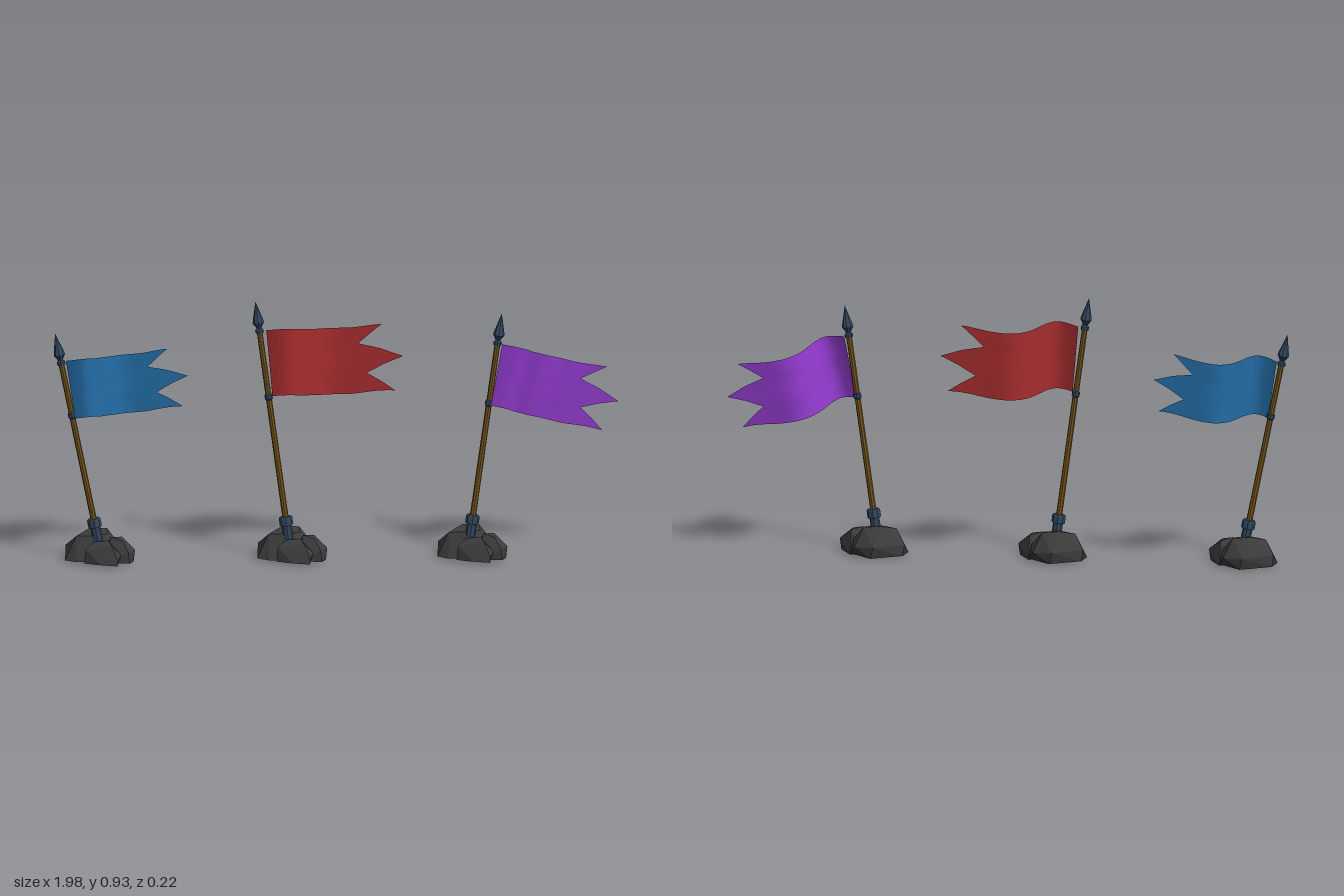
import * as THREE from 'three';
import { ConvexGeometry } from 'three/addons/geometries/ConvexGeometry.js';

const mat = (name, color, extra = {}) => {
  const m = new THREE.MeshStandardMaterial({ color, ...extra });
  m.name = name;
  return m;
};

const add = (parent, name, geometry, material, y = 0) => {
  const mesh = new THREE.Mesh(geometry, material);
  mesh.name = name;
  mesh.position.y = y;
  parent.add(mesh);
  return mesh;
};

// Boulder lobes: each is the hull of a few corner points [x, y, z]
const LOBES = {
  backBoulder: [
    [-0.12, 0.01, 0.0], [-0.115, 0.05, -0.065], [-0.11, 0.01, -0.07], [-0.05, 0.03, -0.09],
    [-0.01, 0.045, -0.115], [0.0, 0.005, -0.11], [0.06, 0.04, -0.09], [0.08, 0.01, -0.05],
    [0.07, 0.06, -0.04], [-0.08, 0.095, -0.01], [-0.03, 0.112, -0.06], [0.03, 0.108, -0.065],
    [0.03, 0.1, -0.015], [-0.02, 0.1, 0.01], [-0.08, 0.01, 0.03], [0.05, 0.01, 0.03],
  ],
  frontBoulder: [
    [-0.055, 0.01, 0.05], [-0.05, 0.06, 0.05], [0.0, 0.012, 0.085], [0.06, 0.012, 0.105],
    [0.062, 0.03, 0.1], [0.04, 0.08, 0.07], [-0.02, 0.083, 0.03], [0.03, 0.085, 0.02],
    [0.075, 0.04, 0.05], [0.07, 0.01, 0.0], [-0.05, 0.01, -0.02],
  ],
  sideBoulder: [
    [0.12, 0.008, 0.02], [0.125, 0.05, 0.015], [0.105, 0.01, 0.06], [0.1, 0.05, 0.058],
    [0.08, 0.088, -0.02], [0.04, 0.095, 0.01], [0.08, 0.085, 0.03], [0.08, 0.005, -0.05],
    [0.02, 0.01, -0.04], [0.02, 0.01, 0.05],
  ],
};

// Curves along the cloth: sideways fold and vertical ripple against distance
const curve = (pts) => new THREE.SplineCurve(pts.map(([x, y]) => new THREE.Vector2(x, y)));
const FOLD = curve([[0, 0], [0.035, 0.018], [0.075, 0.029], [0.115, 0.012], [0.155, -0.04],
  [0.2, -0.071], [0.245, -0.08], [0.33, -0.066], [0.49, -0.041]]).getPoints(80);
const RIPPLE = curve([[0, 0], [0.085, 0.011], [0.18, -0.012], [0.29, -0.012],
  [0.4, 0.004], [0.49, 0.006]]).getPoints(60);
const sample = (pts, x) => {
  const i = Math.max(1, pts.findIndex((p) => p.x >= x));
  const a = pts[i - 1], b = pts[i];
  return a.y + (b.y - a.y) * (x - a.x) / (b.x - a.x);
};

// Three-tailed pennant: rows end at alternating tips and notches
function flagGeometry() {
  const rowV = [0, 0.25, 0.48, 0.71, 1];
  const rowEnd = [0.407, 0.325, 0.482, 0.355, 0.455];
  const at = (list, j) => (list[Math.floor(j / 2)] + list[Math.ceil(j / 2)]) / 2;
  const cols = 28, rows = 8;
  const g = new THREE.PlaneGeometry(1, 1, cols, rows);
  const p = g.attributes.position;
  for (let k = 0; k < p.count; k++) {
    const t = (k % (cols + 1)) / cols, j = Math.floor(k / (cols + 1));
    const v = at(rowV, j), start = 0.021 * v;
    const x = start + (at(rowEnd, j) - start) * t;
    p.setXYZ(k, x, -0.24 * v + sample(RIPPLE, x), sample(FOLD, x));
  }
  g.computeVertexNormals();
  return g;
}

export function createModel() {
  const stone = mat('stone', 0x3b3b3b, { flatShading: true });
  const wood = mat('wood', 0x75551c, { flatShading: true });
  const metal = mat('darkMetal', 0x32485f, { flatShading: true });
  const cloth = (name, color) => mat(name, color, { side: THREE.DoubleSide });

  const lobes = Object.entries(LOBES).map(([name, pts]) =>
    [name, new ConvexGeometry(pts.map((q) => new THREE.Vector3(...q)))]);
  const flag = flagGeometry();
  const lathe = (pts) => new THREE.LatheGeometry(pts.map(([r, y]) => new THREE.Vector2(r, y)), 8);
  const spear = lathe([[0, -0.115], [0.014, -0.115], [0.015, -0.103], [0.009, -0.098],
    [0.011, -0.092], [0.02, -0.078], [0.018, -0.066], [0.006, -0.022], [0, 0]]);
  const socket = lathe([[0, -0.08], [0.0175, -0.08], [0.0175, -0.006], [0.024, -0.004],
    [0.024, 0.022], [0.021, 0.026], [0, 0.026]]);
  const collar = lathe([[0.01, -0.012], [0.014, -0.007], [0.014, 0.007], [0.01, 0.012]]);

  const banners = [
    { name: 'blueBanner', rockX: -0.835, x: -0.85, tilt: 11.4, length: 0.709, low: 0.408,
      flagX: 0.018, flagY: 0.605, size: 0.88, color: cloth('blueCloth', 0x236ca6) },
    { name: 'redBanner', rockX: -0.16, x: -0.178, tilt: 7.7, length: 0.812, low: 0.464,
      flagX: 0.024, flagY: 0.704, size: 1, color: cloth('redCloth', 0xa62c2e) },
    { name: 'purpleBanner', rockX: 0.4725, x: 0.474, tilt: -7.9, length: 0.76, low: 0.434,
      flagX: 0.017, flagY: 0.65, size: 0.94, color: cloth('purpleCloth', 0x8f3aca) },
  ];

  const model = new THREE.Group();
  model.name = 'banners';
  for (const b of banners) {
    const banner = new THREE.Group();
    banner.name = b.name;
    model.add(banner);

    // Stone base
    const base = new THREE.Group();
    base.name = 'rockBase';
    base.position.x = b.rockX;
    lobes.forEach(([name, g]) => add(base, name, g, stone, -0.005));
    banner.add(base);

    // Leaning pole with its metal fittings
    const pole = new THREE.Group();
    pole.name = 'pole';
    pole.position.set(b.x, 0.13, 0.002);
    pole.rotation.z = THREE.MathUtils.degToRad(b.tilt);
    banner.add(pole);
    const top = b.length - 0.1;
    add(pole, 'shaft', new THREE.CylinderGeometry(0.01, 0.011, top + 0.05, 8), wood, (top - 0.05) / 2);
    add(pole, 'socket', socket, metal);
    add(pole, 'lowerCollar', collar, metal, b.low);
    add(pole, 'spearhead', spear, metal, b.length);

    // Cloth
    const pennant = add(pole, 'flag', flag, b.color, b.flagY);
    pennant.position.x = b.flagX;
    pennant.rotation.z = THREE.MathUtils.degToRad(-7.7);
    pennant.scale.set(b.size, b.size, 1);
  }
  return model;
}
